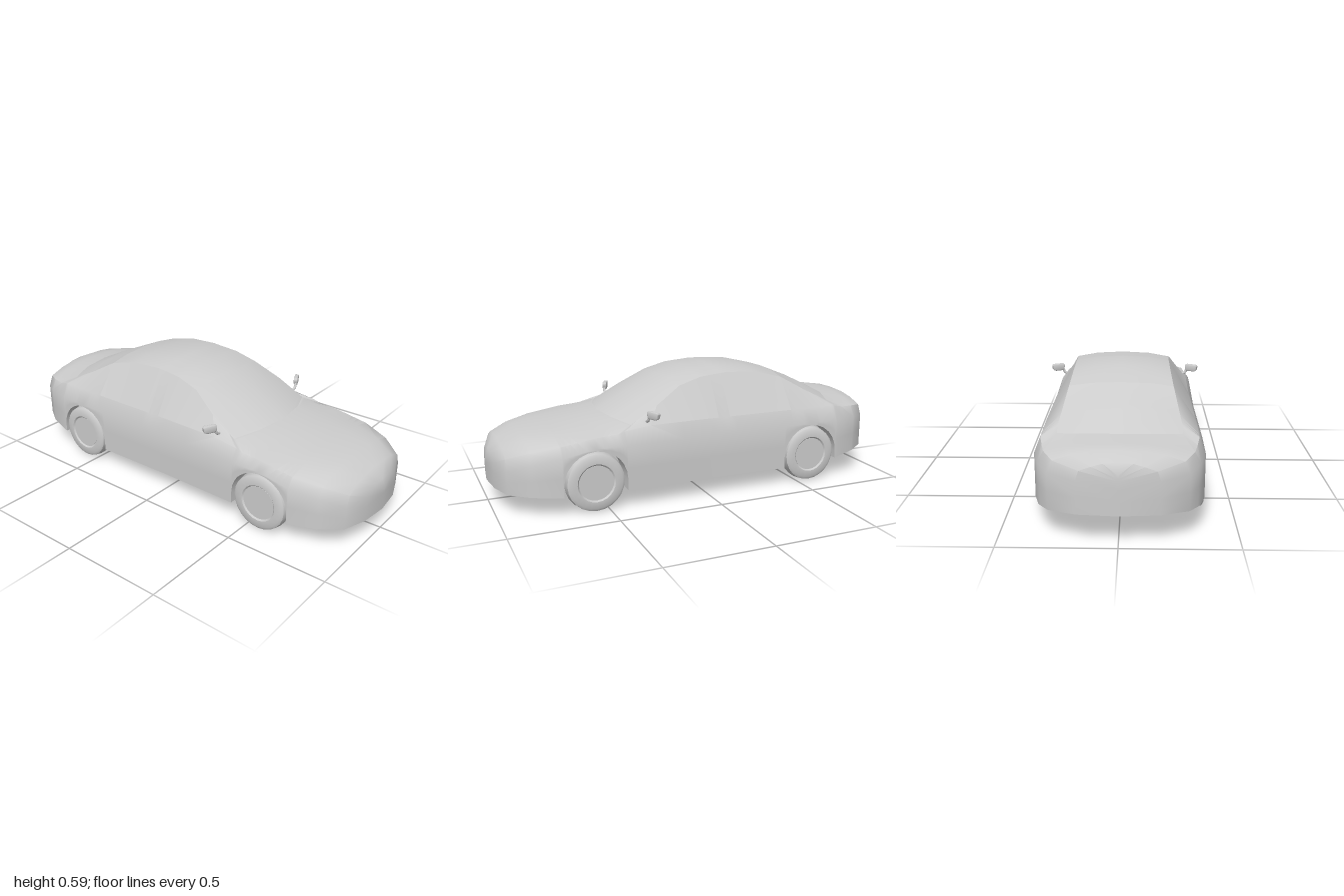
import * as THREE from 'three';
import { toCreasedNormals } from 'three/addons/utils/BufferGeometryUtils.js';

const ARCH_R = 0.15, AXLE_Y = 0.147, AXLES = [0.565, -0.565];

// Body curves, each a list of [z, value] from front to back
const halfWidth = [[1, 0], [0.985, 0.138], [0.945, 0.25], [0.85, 0.32], [0.72, 0.365], [0.5, 0.369],
  [0, 0.362], [-0.5, 0.368], [-0.72, 0.366], [-0.84, 0.338], [-0.92, 0.29], [-0.98, 0.17], [-1, 0]];
const topLine = [[1, 0.215], [0.985, 0.262], [0.945, 0.311], [0.85, 0.343], [0.72, 0.363], [0.45, 0.398],
  [0.29, 0.483], [0.13, 0.558], [0, 0.589], [-0.15, 0.6], [-0.3, 0.591], [-0.46, 0.552],
  [-0.62, 0.487], [-0.77, 0.413], [-0.92, 0.395], [-0.98, 0.367], [-1, 0.325]];
const shoulderLine = [[1, 0.17], [0.945, 0.215], [0.85, 0.25], [0.72, 0.28], [0.56, 0.308],
  [0, 0.303], [-0.84, 0.31], [-0.98, 0.288], [-1, 0.26]];
const floorLine = [[1, 0.108], [0.56, 0.092], [-0.6, 0.092], [-1, 0.147]];
// Roof or bonnet edge: part of the half width, and drop below the top line
const edgeRatio = [[1, 0.63], [0.56, 0.67], [0.45, 0.8], [0.29, 0.765], [0.13, 0.657], [-0.1, 0.617],
  [-0.3, 0.62], [-0.46, 0.643], [-0.62, 0.7], [-0.77, 0.75], [-0.84, 0.665], [-1, 0.63]];
const edgeDrop = [[1, 0.012], [0.45, 0.016], [0.29, 0.025], [-0.46, 0.02], [-0.62, 0.032], [-0.77, 0.018]];
// How far the glass wraps round towards the sides
const sweepBack = [[0.7, 0], [0.45, -0.075], [0.13, -0.035], [-0.06, 0], [-0.4, 0], [-0.77, 0.065], [-0.86, 0]];
const PILLARS = [-0.06, -0.12];

// Linear blend along a curve, held constant beyond its ends
function at(curve, z) {
  const i = curve.findIndex(([cz]) => cz <= z);
  if (i < 0) return curve[curve.length - 1][1];
  if (i === 0) return curve[0][1];
  const [z0, v0] = curve[i - 1], [z1, v1] = curve[i];
  return v0 + (v1 - v0) * (z0 - z) / (z0 - z1);
}

// Half cross-section, from the middle of the floor round to the middle of the top
function section(z, archY) {
  const w = at(halfWidth, z), top = at(topLine, z), shoulder = at(shoulderLine, z);
  const floor = at(floorLine, z), drop = at(edgeDrop, z), sweep = at(sweepBack, z);
  const low = Math.max(floor, archY);
  const inner = Math.min(0.272, w * 0.78);
  const belt = Math.min(0.382, shoulder + 0.55 * (top - shoulder));
  const edge = w * at(edgeRatio, z);
  const p = (x, y) => new THREE.Vector3(x, y, z);
  const swept = (x, y) => new THREE.Vector3(x, y, z + sweep * (x / 0.29) ** 2);
  return [
    p(0, floor), p(inner, floor), p(inner, low), p(w, low),
    p(w, (low + shoulder) / 2), p(w, shoulder), p(w * 0.92, belt),
    swept(edge, top - drop), swept(edge * 0.56, top - drop * 0.25), swept(0, top),
  ];
}

// Sections at every curve point, with doubled ones at the ends of each wheel arch
function bodySections() {
  const list = [];
  for (const c of AXLES) {
    list.push([c + ARCH_R, 0]);
    for (let k = 0; k <= 12; k++) {
      const a = (k / 12) * Math.PI;
      list.push([c + ARCH_R * Math.cos(a), AXLE_Y + ARCH_R * Math.sin(a)]);
    }
    list.push([c - ARCH_R, 0]);
  }
  const curves = [halfWidth, topLine, shoulderLine, floorLine, edgeRatio, edgeDrop, sweepBack];
  for (const z of new Set([...curves.flat().map((point) => point[0]), ...PILLARS])) {
    const c = AXLES.find((axle) => Math.abs(z - axle) < ARCH_R);
    list.push([z, c === undefined ? 0 : AXLE_Y + Math.sqrt(ARCH_R ** 2 - (z - c) ** 2)]);
  }
  list.sort((a, b) => b[0] - a[0]);
  return list.map(([z, archY]) => ({ z, points: section(z, archY) }));
}

// Which panel a face of the loft belongs to
function panelName(z, j) {
  if (j >= 7 && z < 0.45 && z > 0.13) return 'windscreen';
  if (j >= 7 && z < -0.46 && z > -0.77) return 'rearWindow';
  if (j === 6 && z < 0.29 && z > PILLARS[0]) return 'frontSideWindows';
  if (j === 6 && z < PILLARS[1] && z > -0.46) return 'rearSideWindows';
  return 'bodyShell';
}

// Body lofted through the sections, mirrored, and split into panels
function buildBody(material) {
  const group = new THREE.Group();
  group.name = 'body';
  const panels = {};
  const addTriangle = (out, a, b, c) => {
    const area = b.clone().sub(a).cross(c.clone().sub(a)).length();
    if (area < 1e-7) return;
    for (const v of [a, b, c]) out.push(v.x, v.y, v.z);
    for (const v of [a, c, b]) out.push(-v.x, v.y, v.z);
  };
  const rings = bodySections();
  for (let i = 0; i < rings.length - 1; i++) {
    const A = rings[i], B = rings[i + 1];
    for (let j = 0; j < A.points.length - 1; j++) {
      const out = (panels[panelName((A.z + B.z) / 2, j)] ??= []);
      addTriangle(out, A.points[j], B.points[j], A.points[j + 1]);
      addTriangle(out, A.points[j + 1], B.points[j], B.points[j + 1]);
    }
  }
  for (const [name, positions] of Object.entries(panels)) {
    const geometry = new THREE.BufferGeometry();
    geometry.setAttribute('position', new THREE.Float32BufferAttribute(positions, 3));
    const mesh = new THREE.Mesh(toCreasedNormals(geometry, 0.75), material);
    mesh.name = name;
    group.add(mesh);
  }
  return group;
}

// Wheel with its axis on y; +y is the outer face
function buildWheel(material) {
  const wheel = new THREE.Group();
  const profile = [
    [0, -0.036], [0.085, -0.036], [0.09, -0.042], [0.122, -0.042], [0.135, -0.034], [0.141, 0],
    [0.135, 0.034], [0.122, 0.042], [0.09, 0.042], [0.082, 0.034],
  ].map(([r, y]) => new THREE.Vector2(r, y));
  const tyre = new THREE.Mesh(toCreasedNormals(new THREE.LatheGeometry(profile, 24), 0.7), material);
  tyre.name = 'tyre';
  const hub = new THREE.Mesh(new THREE.CylinderGeometry(0.083, 0.083, 0.01, 24), material);
  hub.name = 'hubcap';
  hub.position.y = 0.031;
  wheel.add(tyre, hub);
  return wheel;
}

// Door mirror on side s (+1 left, -1 right)
function buildMirror(s, material) {
  const mirror = new THREE.Group();
  const shape = new THREE.Shape();
  shape.moveTo(-0.034, 0.014);
  shape.quadraticCurveTo(-0.034, -0.016, -0.02, -0.017);
  shape.lineTo(0.018, -0.017);
  shape.quadraticCurveTo(0.036, -0.013, 0.036, 0.01);
  shape.quadraticCurveTo(0.036, 0.02, 0.026, 0.021);
  shape.lineTo(-0.02, 0.021);
  shape.quadraticCurveTo(-0.03, 0.021, -0.034, 0.014);
  const geometry = new THREE.ExtrudeGeometry(shape, {
    depth: 0.01, bevelThickness: 0.005, bevelSize: 0.004, bevelOffset: -0.004,
    bevelSegments: 2, curveSegments: 4,
  });
  geometry.translate(0, 0, -0.005);
  const head = new THREE.Mesh(toCreasedNormals(geometry, 0.8), material);
  head.name = 'mirrorHead';
  head.position.set(s * 0.365, 0.432, 0.288);
  head.rotation.y = s > 0 ? 0.45 : Math.PI - 0.45;
  const path = new THREE.CatmullRomCurve3([
    new THREE.Vector3(s * 0.31, 0.395, 0.3),
    new THREE.Vector3(s * 0.332, 0.404, 0.302),
    new THREE.Vector3(s * 0.342, 0.424, 0.3),
  ]);
  const stalk = new THREE.Mesh(new THREE.TubeGeometry(path, 6, 0.007, 8), material);
  stalk.name = 'mirrorStalk';
  mirror.add(head, stalk);
  return mirror;
}

export function createModel() {
  const model = new THREE.Group();
  model.name = 'car';
  const grey = new THREE.MeshStandardMaterial({ color: 0xcccccc });
  grey.name = 'plain grey';

  model.add(buildBody(grey));
  for (const s of [1, -1]) {
    const side = s > 0 ? 'Left' : 'Right';
    AXLES.forEach((z, k) => {
      const wheel = buildWheel(grey);
      wheel.name = (k ? 'rear' : 'front') + side + 'Wheel';
      wheel.position.set(s * 0.327, AXLE_Y, z);
      wheel.rotation.z = -s * Math.PI / 2;
      model.add(wheel);
    });
    const mirror = buildMirror(s, grey);
    mirror.name = 'door' + side + 'Mirror';
    model.add(mirror);
  }
  return model;
}
